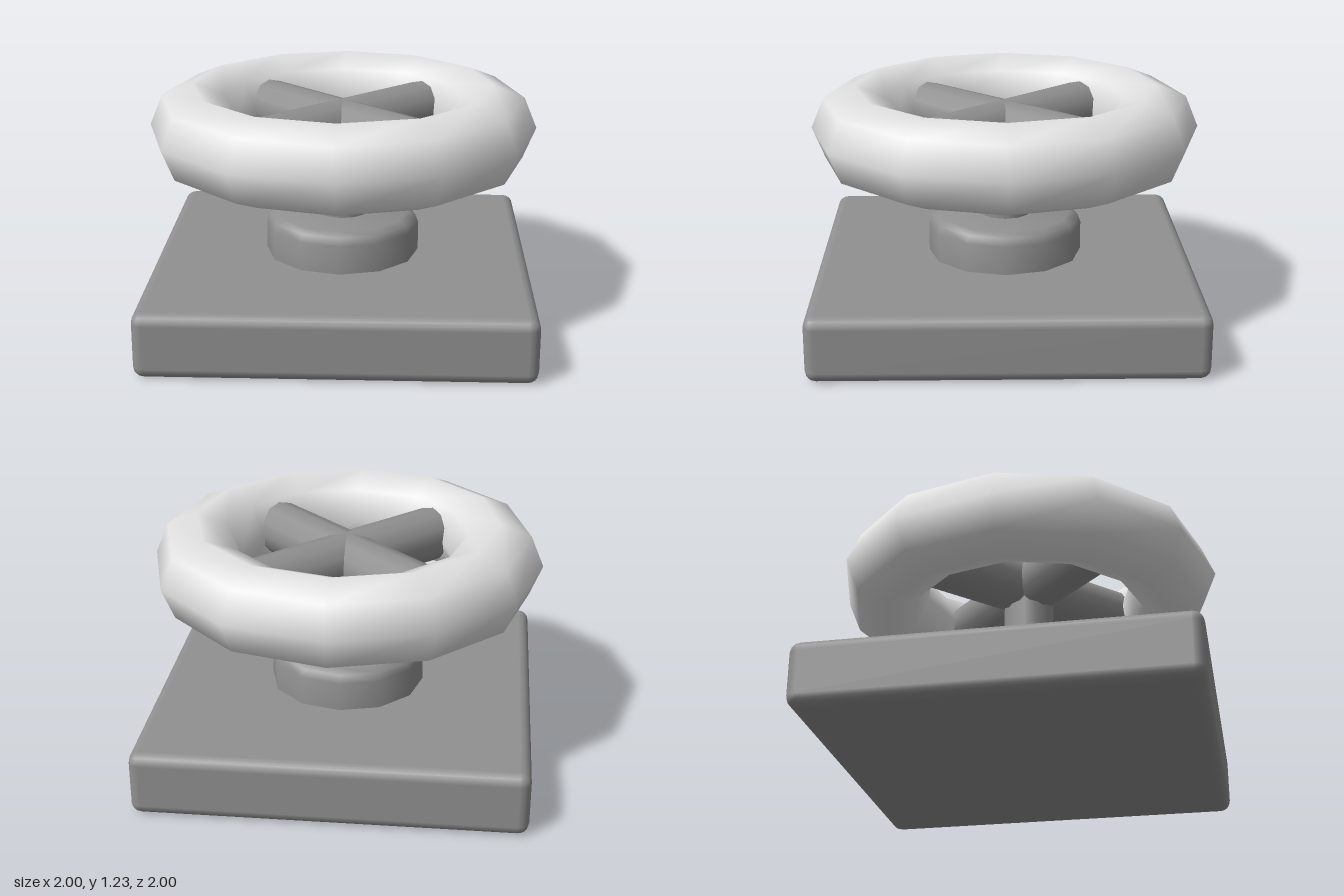
import * as THREE from 'three';
import { RoundedBoxGeometry } from 'three/addons/geometries/RoundedBoxGeometry.js';
import { toCreasedNormals } from 'three/addons/utils/BufferGeometryUtils.js';

export function createModel() {
  const model = new THREE.Group();
  model.name = 'valveWheel';

  const bodyGrey = new THREE.MeshStandardMaterial({ color: 0x909090 });
  bodyGrey.name = 'bodyGrey';
  const rimGrey = new THREE.MeshStandardMaterial({ color: 0xe2e2e2 });
  rimGrey.name = 'rimGrey';

  const add = (name, geometry, material, y, parent = model) => {
    const mesh = new THREE.Mesh(geometry, material);
    mesh.name = name;
    mesh.position.y = y;
    parent.add(mesh);
    return mesh;
  };

  // Square base plate with rounded edges
  add('base', new RoundedBoxGeometry(1.94, 0.33, 1.94, 2, 0.055), bodyGrey, 0.165);

  // Round collar with a softened top edge
  const collarProfile = [[0.4, 0], [0.4, 0.15], [0.385, 0.19], [0.345, 0.21], [0, 0.21]]
    .map(([r, y]) => new THREE.Vector2(r, y));
  add('collar', toCreasedNormals(new THREE.LatheGeometry(collarProfile, 12), 0.9), bodyGrey, 0.33);

  // Upright stem
  add('stem', new THREE.CylinderGeometry(0.133, 0.133, 0.5, 12), bodyGrey, 0.77);

  // Two crossed bars forming four spokes
  const spokes = new THREE.Group();
  spokes.name = 'spokes';
  spokes.position.y = 1;
  model.add(spokes);
  for (const side of [1, -1]) {
    const bar = new THREE.CylinderGeometry(0.142, 0.142, 1.36, 12);
    bar.rotateZ(Math.PI / 2).rotateY(side * Math.PI / 4);
    add('spokeBar', bar, bodyGrey, 0, spokes);
  }

  // Faceted hand wheel rim with smooth shading
  add('rim', new THREE.TorusGeometry(0.775, 0.225, 8, 12).rotateX(-Math.PI / 2), rimGrey, 1);

  return model;
}
